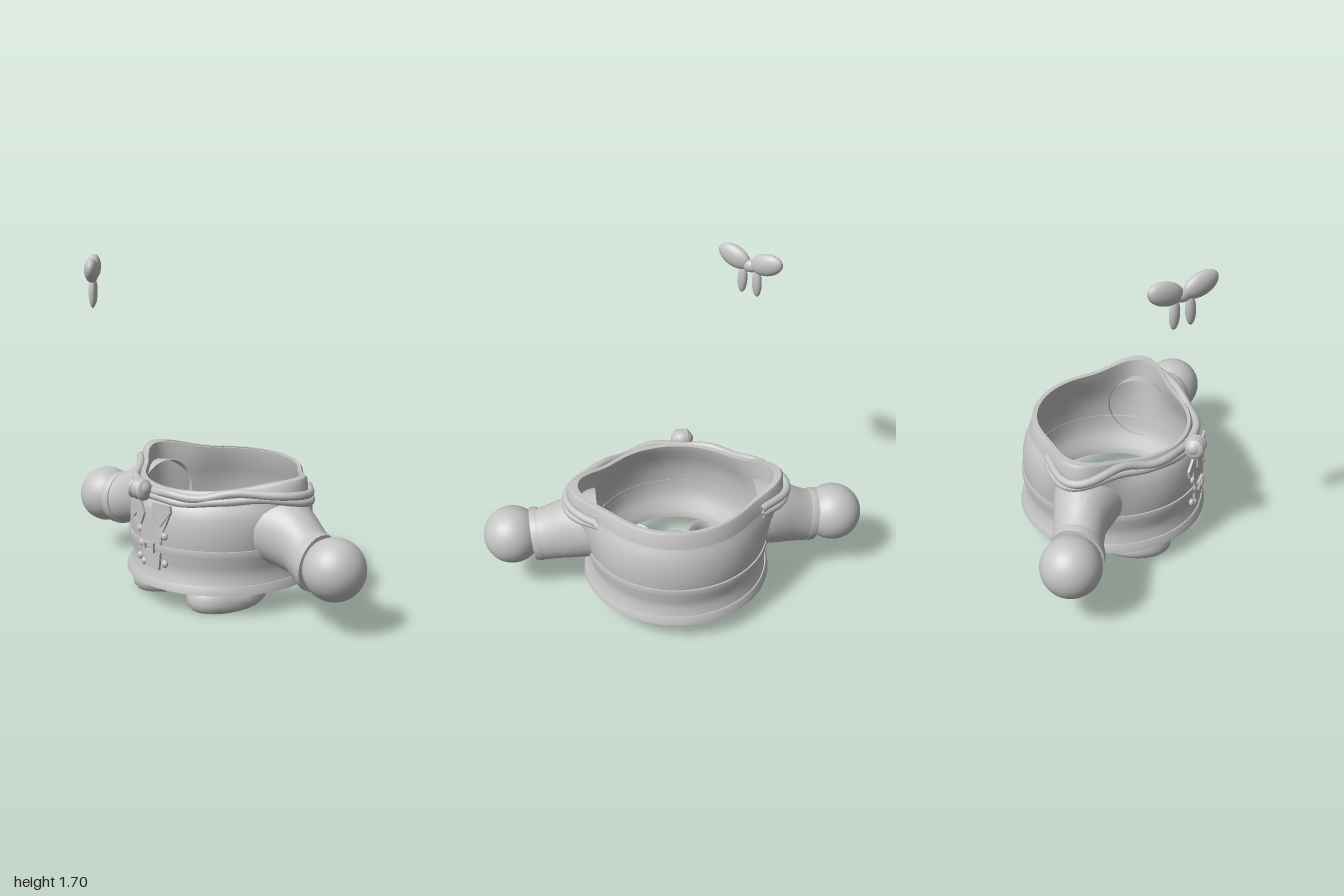
import * as THREE from 'three';
import { toCreasedNormals } from 'three/addons/utils/BufferGeometryUtils.js';

const grey = new THREE.MeshStandardMaterial({ color: 0xc4c4c4, side: THREE.DoubleSide });
grey.name = 'plain grey';
const CZ = -0.055; // centre of the coat in z

function add(parent, name, geometry, x = 0, y = 0, z = 0) {
  const mesh = new THREE.Mesh(geometry, grey);
  mesh.name = name;
  mesh.position.set(x, y, z);
  parent.add(mesh);
  return mesh;
}

// Skin closed rings: point(row, t) gives [x, y, z] with t running round the ring
function loft(rows, n, point, crease = 0.7) {
  const pos = [], idx = [];
  rows.forEach((row, i) => {
    for (let j = 0; j < n; j++) {
      pos.push(...point(row, (j / n) * Math.PI * 2));
      if (i === rows.length - 1) continue;
      const a = i * n + j, b = i * n + (j + 1) % n;
      idx.push(a, b, a + n, b, b + n, a + n);
    }
  });
  const g = new THREE.BufferGeometry();
  g.setAttribute('position', new THREE.Float32BufferAttribute(pos, 3));
  g.setIndex(idx);
  return toCreasedNormals(g, crease);
}

// 1 at the sides of the coat, fading to 0 at front and back
function shoulder(t) {
  const phi = Math.asin(Math.abs(Math.sin(t))) - Math.PI / 2;
  return Math.exp(-((phi / 0.36) ** 2));
}

// Coat point for a row [y, radius, shoulder bulge, rim amount]; t = 0 is the front
function coatPoint([y, r, bulge, rim = 0], t) {
  const s = shoulder(t), rad = r + bulge * s;
  const front = Math.max(0, Math.cos(t)) * (1 - s);
  return [rad * Math.sin(t), y + rim * (0.035 * s - 0.035 * front), CZ + rad * Math.cos(t)];
}

const frontZ = (x, r = 0.466) => CZ + Math.sqrt(r * r - x * x);

function band(y0, y1, r0, r1, inner) {
  return loft([[y0, inner, 0], [y0, r0, 0], [(y0 + y1) / 2, (r0 + r1) / 2 + 0.003, 0],
    [y1, r1, 0], [y1, inner, 0]], 96, coatPoint);
}

// Flat plate wrapped on the chest from outline points [x, y]
function chestPlate(parent, name, pts, r) {
  const shape = new THREE.Shape(pts.map(p => new THREE.Vector2(...p)));
  const g = new THREE.ExtrudeGeometry(shape, { depth: 0.012, bevelEnabled: false });
  const p = g.attributes.position;
  for (let i = 0; i < p.count; i++) p.setZ(i, p.getZ(i) + frontZ(p.getX(i), r));
  g.computeVertexNormals();
  return add(parent, name, g);
}

function ellipsoid(parent, name, size, at, tilt = 0) {
  const m = add(parent, name, new THREE.SphereGeometry(1, 32, 24), ...at);
  m.scale.set(...size);
  m.rotation.z = tilt;
  return m;
}

function buildCoat(root) {
  const coat = new THREE.Group();
  coat.name = 'coat';
  root.add(coat);

  // Hollow shell: inner hem lip, outside going up, rim, inside going down
  const rows = [
    [0.165, 0.385, 0], [0.12, 0.375, 0], [0.115, 0.475, 0], [0.155, 0.468, 0], [0.19, 0.45, 0],
    [0.24, 0.455, 0], [0.3, 0.464, 0], [0.36, 0.468, 0.015], [0.42, 0.466, 0.04], [0.48, 0.455, 0.075],
    [0.53, 0.437, 0.105], [0.56, 0.418, 0.125, 0.4], [0.6, 0.404, 0.14, 0.8], [0.63, 0.4, 0.14, 1],
    [0.63, 0.385, 0.115, 1], [0.58, 0.39, 0.1, 0.5], [0.5, 0.42, 0.06], [0.4, 0.445, 0.02],
    [0.28, 0.44, 0], [0.2, 0.42, 0], [0.165, 0.385, 0]];
  add(coat, 'coatBody', loft(rows, 128, coatPoint));
  add(coat, 'hemTrim', band(0.113, 0.155, 0.488, 0.474, 0.44));
  add(coat, 'belt', band(0.292, 0.33, 0.474, 0.474, 0.44));

  // Stiff neck band, a little prouder than the shell
  add(coat, 'neckBand', loft([[0.555, 0.41, 0.12, 0.6], [0.555, 0.425, 0.128, 0.6],
    [0.625, 0.41, 0.14, 1], [0.637, 0.402, 0.138, 1], [0.637, 0.385, 0.12, 1]], 128, coatPoint));

  // Front flaps, buckle and buttons
  chestPlate(coat, 'frontPanel', [[-0.1, 0.5], [-0.06, 0.2], [0.055, 0.2], [0.075, 0.38], [0.13, 0.51]], 0.463);
  chestPlate(coat, 'lapel', [[0.02, 0.54], [0.02, 0.44], [0.07, 0.425], [0.135, 0.51], [0.13, 0.54]], 0.468);
  const frame = new THREE.Shape([[-0.037, -0.025], [0.037, -0.025], [0.037, 0.025], [-0.037, 0.025]]
    .map(p => new THREE.Vector2(...p)));
  frame.holes.push(new THREE.Path([[-0.025, -0.014], [-0.025, 0.014], [0.025, 0.014], [0.025, -0.014]]
    .map(p => new THREE.Vector2(...p))));
  add(coat, 'buckle', new THREE.ExtrudeGeometry(frame, { depth: 0.014, bevelEnabled: false }), -0.005, 0.31, 0.418);
  for (const [x, y] of [[-0.095, 0.38], [0.09, 0.38], [-0.075, 0.312], [-0.095, 0.24], [0.09, 0.24], [-0.06, 0.22]])
    ellipsoid(coat, 'button', [0.019, 0.019, 0.014], [x, y, frontZ(x, 0.47)]);
}

function buildScarf(root) {
  const scarf = new THREE.Group();
  scarf.name = 'scarf';
  root.add(scarf);

  // Two soft strands around the front and over both shoulders
  for (const [dy, phase, r] of [[0.014, 0, 0.021], [-0.016, 1.5, 0.019]]) {
    const pts = [];
    for (let i = 0; i <= 60; i++) {
      const t = (i / 60 - 0.5) * 2 * 2.02, s = shoulder(t);
      const rad = 0.428 + 0.138 * s + 0.006 * Math.sin(7 * t + phase);
      const lift = 0.035 * Math.exp(-(((Math.abs(t) - 1.15) / 0.35) ** 2));
      pts.push(new THREE.Vector3(rad * Math.sin(t),
        0.567 + lift + dy + 0.006 * Math.sin(9 * t + phase), CZ + rad * Math.cos(t)));
    }
    add(scarf, 'scarfStrand', new THREE.TubeGeometry(new THREE.CatmullRomCurve3(pts), 140, r, 12));
  }

  // Knot with folds, and two pointed ends hanging below
  ellipsoid(scarf, 'knot', [0.06, 0.05, 0.05], [-0.085, 0.588, 0.408]);
  for (const x of [-0.03, 0, 0.03])
    ellipsoid(scarf, 'knotFold', [0.022, 0.053, 0.05], [-0.085 + x, 0.585, 0.413], x * 5);
  chestPlate(scarf, 'scarfEnd', [[-0.1, 0.56], [-0.16, 0.47], [-0.15, 0.425], [-0.085, 0.48], [-0.07, 0.56]], 0.475);
  chestPlate(scarf, 'scarfEnd', [[-0.1, 0.56], [-0.09, 0.46], [-0.055, 0.415], [-0.025, 0.48], [-0.06, 0.56]], 0.482);
}

// One side: sleeve, cuff, round hand and open shoe
function buildSide(root, side) {
  const half = new THREE.Group();
  half.name = side > 0 ? 'leftLimbs' : 'rightLimbs';
  half.scale.x = side;
  root.add(half);

  // Ring rows: x, y, z, half height, half depth
  const tube = ([x, y, z, h, d], t) => [x + 0.1 * h * Math.cos(t) * (x > 0.6 ? 1 : 0), y + h * Math.cos(t), z + d * Math.sin(t)];
  add(half, 'sleeve', loft([
    [0.41, 0.41, -0.035, 0.175, 0.18], [0.48, 0.405, -0.035, 0.175, 0.165], [0.54, 0.393, -0.033, 0.173, 0.148],
    [0.59, 0.375, -0.026, 0.163, 0.136], [0.64, 0.35, -0.012, 0.15, 0.13], [0.69, 0.328, 0.002, 0.14, 0.13],
    [0.725, 0.321, 0.012, 0.138, 0.131]], 48, tube, 1.2));
  add(half, 'cuff', loft([
    [0.70, 0.323, 0.008, 0.13, 0.125], [0.703, 0.323, 0.009, 0.141, 0.135], [0.72, 0.322, 0.013, 0.144, 0.138],
    [0.745, 0.32, 0.018, 0.14, 0.135], [0.75, 0.32, 0.019, 0.11, 0.11]], 48, tube));
  add(half, 'hand', new THREE.SphereGeometry(0.15, 40, 28), 0.85, 0.32, 0.025);

  add(half, 'shoe', loft([
    [-0.048, 0], [-0.02, 0.001], [-0.004, 0.02], [0, 0.045], [-0.003, 0.075], [-0.014, 0.1], [-0.03, 0.113],
    [-0.044, 0.1], [-0.05, 0.06], [-0.048, 0]], 56, ([o, y], t) => {
    const z = 0.1 + (0.23 + o) * Math.cos(t);
    const dip = 1 - 0.25 * Math.exp(-(((z - 0.11) / 0.1) ** 2));
    return [0.207 + (0.16 + o) * Math.sin(t), y * dip, z];
  }, 1.2));
}

function buildPeg(root) {
  // Central stump with a ball top
  const pts = [[0, 0], [0.062, 0], [0.07, 0.008], [0.08, 0.11], [0.08, 0.15]].map(p => new THREE.Vector2(...p));
  add(root, 'peg', toCreasedNormals(new THREE.LatheGeometry(pts, 40), 0.7), 0, 0, -0.065);
  add(root, 'pegBall', new THREE.SphereGeometry(0.1, 32, 24), 0, 0.21, -0.065);
}

function buildBow(root) {
  // Floating bow turned towards the side
  const bow = new THREE.Group();
  bow.name = 'bow';
  bow.position.set(-0.425, 1.6, 0.415);
  bow.rotation.y = -0.71;
  root.add(bow);
  for (const s of [-1, 1]) {
    ellipsoid(bow, 'bowLoop', [0.093, 0.057, 0.036], [s * 0.092, 0.035, 0], s * 0.3);
    ellipsoid(bow, 'bowTail', [0.026, 0.075, 0.02], [s * 0.042, -0.078, 0], s * 0.04);
  }
  ellipsoid(bow, 'bowCentre', [0.045, 0.032, 0.026], [0, 0.005, 0]);
}

export function createModel() {
  const root = new THREE.Group();
  root.name = 'coatOutfit';
  buildCoat(root);
  buildScarf(root);
  buildSide(root, 1);
  buildSide(root, -1);
  buildPeg(root);
  buildBow(root);
  return root;
}
